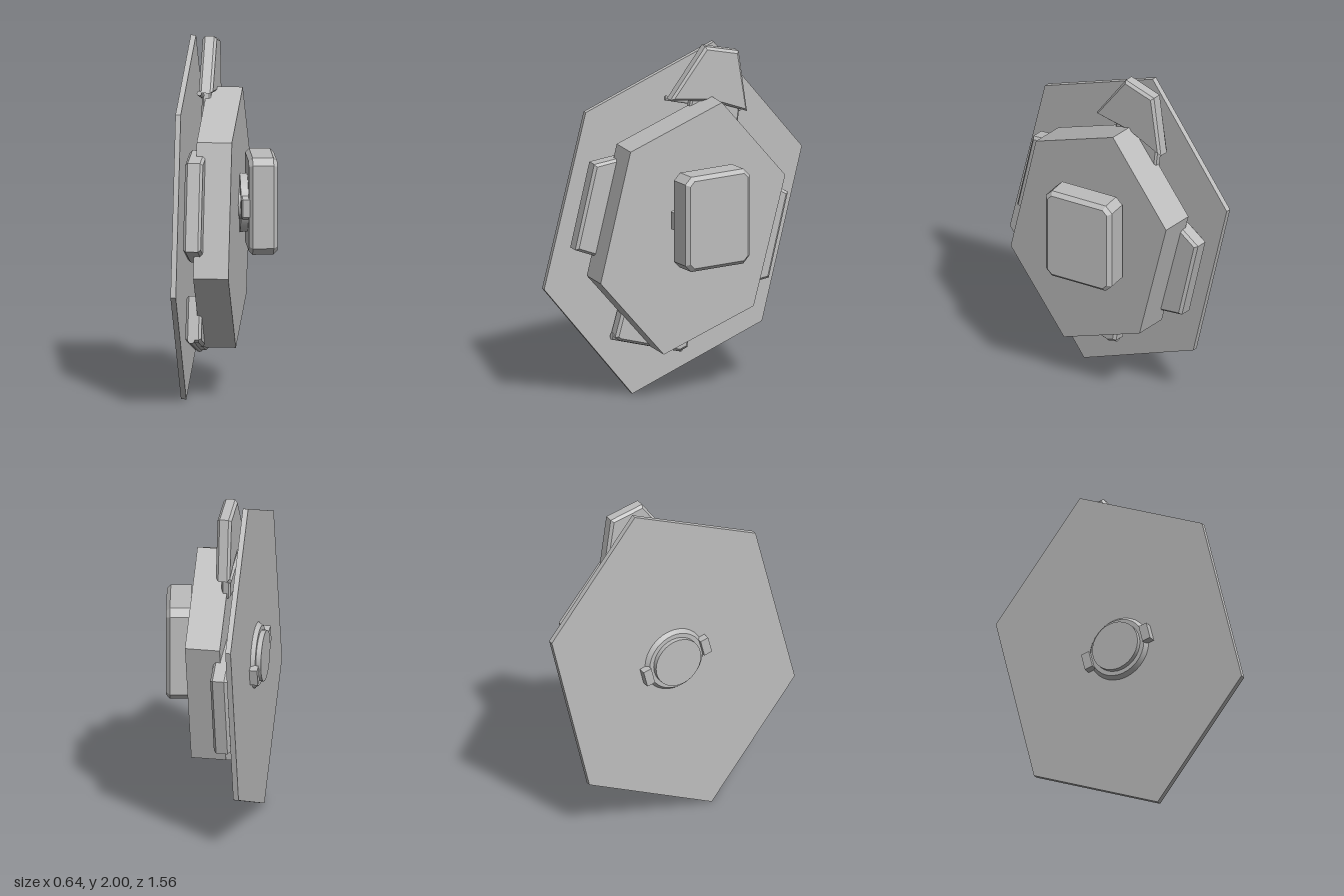
import * as THREE from 'three';

const TILT = -0.168; // the layered slabs are turned slightly about y
const C = Math.cos(TILT), S = Math.sin(TILT);

export function createModel() {
  const model = new THREE.Group();
  const grey = new THREE.MeshStandardMaterial({ color: 0xbdbdbd });
  grey.name = 'light grey';

  const tilted = new THREE.Group();
  tilted.name = 'tiltedAssembly';
  tilted.rotation.y = TILT;
  model.add(tilted);

  const add = (parent, name, geo) => {
    const mesh = new THREE.Mesh(geo, grey);
    mesh.name = name;
    parent.add(mesh);
    return mesh;
  };

  // Outline in [z, y], extruded along x from x0 to x1 with an optional chamfer
  const slab = (points, x0, x1, bevel = 0) => {
    const shape = new THREE.Shape(points.map(([z, y]) => new THREE.Vector2(-z, y)));
    const geo = new THREE.ExtrudeGeometry(shape, {
      depth: x1 - x0 - 2 * bevel, bevelEnabled: bevel > 0,
      bevelSize: bevel, bevelOffset: -bevel, bevelThickness: bevel, bevelSegments: 1,
    });
    return geo.translate(0, 0, x0 + bevel).rotateY(Math.PI / 2);
  };
  // Brings an outline read square-on into the tilted frame
  const untilt = (points, x) => points.map(([z, y]) => [(z + S * x) / C, y]);
  const tiltedSlab = (name, points, x0, x1, bevel) =>
    add(tilted, name, slab(untilt(points, x1), x0, x1, bevel));

  // Disc whose axis runs along x
  const disc = (parent, name, r, x0, x1, y, z, r1 = r) => {
    const mesh = add(parent, name, new THREE.CylinderGeometry(r, r1, x1 - x0, 32).rotateZ(-Math.PI / 2));
    mesh.position.set((x0 + x1) / 2, y, z);
  };

  // Thin round rod between two [z, y] points of the tilted frame
  const rod = (name, a, b, x, r) => {
    const [[z0, y0], [z1, y1]] = untilt([a, b], x);
    const path = new THREE.LineCurve3(new THREE.Vector3(x, y0, z0), new THREE.Vector3(x, y1, z1));
    const mesh = add(tilted, name, new THREE.CylinderGeometry(r, r, path.getLength(), 12));
    mesh.position.copy(path.getPoint(0.5));
    mesh.quaternion.setFromUnitVectors(new THREE.Vector3(0, 1, 0), path.getTangent(0));
  };

  // Hexagonal back plate and the thick hexagonal block before it
  tiltedSlab('backPlate',
    [[0.53, 1.66], [-0.24, 1.99], [-0.77, 1.33], [-0.53, 0.34], [0.25, 0], [0.78, 0.66]], -0.183, -0.153);
  tiltedSlab('mainBlock',
    [[0.42, 1.48], [-0.13, 1.71], [-0.51, 1.25], [-0.32, 0.51], [0.22, 0.285], [0.6, 0.735]], -0.08, 0.118);
  disc(tilted, 'innerShaft', 0.16, -0.16, -0.07, 1, 0.03);

  // Pods held between plate and block
  tiltedSlab('frontPod', [[0.545, 1.385], [0.3, 1.42], [0.4, 0.8], [0.66, 0.9]], -0.13, -0.03, 0.015);
  tiltedSlab('rearPod', [[-0.3, 1.24], [-0.5, 1.18], [-0.625, 1.1], [-0.51, 0.615], [-0.3, 0.58]], -0.135, -0.04, 0.015);
  tiltedSlab('bottomPod',
    [[0.34, 0.6], [0.405, 0.36], [0.38, 0.34], [0.02, 0.24], [-0.03, 0.26], [-0.07, 0.5]], -0.145, -0.055, 0.015);
  tiltedSlab('topPod', [[0.09, 1.71], [-0.12, 2], [-0.32, 1.955], [-0.37, 1.6], [-0.15, 1.68]], -0.105, -0.025, 0.015);
  tiltedSlab('topPodStem', [[-0.05, 1.72], [-0.34, 1.65], [-0.32, 1.48], [0, 1.5]], -0.1, -0.05, 0.01);
  rod('topPodRod', [0.085, 1.71], [-0.365, 1.6], -0.1, 0.014);
  rod('bottomPodRod', [0.4, 0.36], [-0.02, 0.245], -0.11, 0.02);

  // Hub on the back of the plate, with two locking lugs
  disc(tilted, 'hubRing', 0.19, -0.207, -0.18, 1, 0.035, 0.17);
  disc(tilted, 'hubCap', 0.145, -0.235, -0.2, 1, 0.035);
  for (const side of [-1, 1]) {
    const lug = add(tilted, 'hubLug', new THREE.BoxGeometry(0.045, 0.1, 0.05));
    const angle = 0.25;
    lug.rotation.x = -angle;
    lug.position.set(-0.205, 1 + side * 0.19 * Math.sin(angle), 0.035 + side * 0.19 * Math.cos(angle));
  }

  // Upright cushion-like box on a short mount
  const [y0, y1, z0, z1, c] = [0.805, 1.355, -0.212, 0.215, 0.04];
  add(model, 'outerBox', slab([
    [z1, y0 + c], [z1, y1 - c], [z1 - c, y1], [z0 + c, y1],
    [z0, y1 - c], [z0, y0 + c], [z0 + c, y0], [z1 - c, y0],
  ], 0.157, 0.318, 0.022));
  disc(model, 'mountDisc', 0.165, 0.115, 0.165, 1.075, 0);
  disc(model, 'mountShaft', 0.1, 0.05, 0.16, 1.075, 0);
  for (const z of [-0.17, 0.17]) {
    const lug = add(model, 'mountLug', slab([
      [z - 0.03, 1.0], [z + 0.03, 1.02], [z + 0.03, 1.12], [z - 0.03, 1.14],
    ], 0.115, 0.17, 0.008));
    lug.position.y = 0;
  }
  return model;
}
